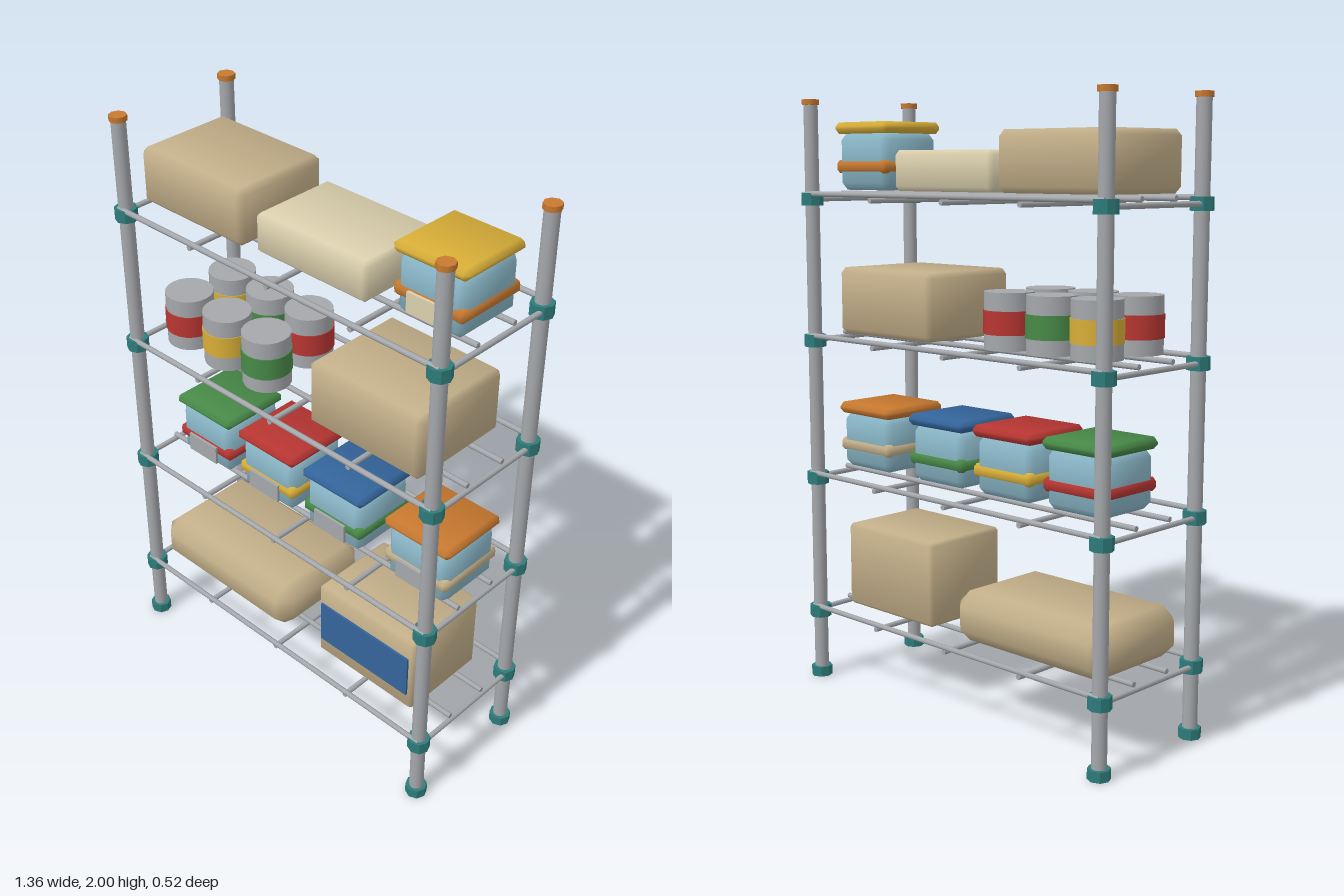
import * as THREE from 'three';
import { ConvexGeometry } from 'three/addons/geometries/ConvexGeometry.js';

const palette = {
  steel: 0xa5a8ac, orange: 0xc8792f, teal: 0x2d7d7b, cardboard: 0xc4b08a, cream: 0xdbd0ae,
  paleBlue: 0x8ab7c8, red: 0xb83632, yellow: 0xd8ae38, green: 0x488a48, blue: 0x34659c,
};

export function createModel() {
  const root = new THREE.Group();
  root.name = 'storageRack';
  const mats = {};
  for (const [name, color] of Object.entries(palette)) {
    mats[name] = new THREE.MeshStandardMaterial({ color });
    mats[name].name = name;
  }

  function add(parent, name, geometry, color, x, y, z) {
    const mesh = new THREE.Mesh(geometry, mats[color]);
    mesh.name = name;
    mesh.position.set(x, y, z);
    parent.add(mesh);
    return mesh;
  }

  // Box with every edge chamfered and softly blended normals
  function softBox(w, h, d, c) {
    const half = [w / 2, h / 2, d / 2];
    const points = [];
    for (const sx of [-1, 1]) for (const sy of [-1, 1]) for (const sz of [-1, 1]) {
      for (let axis = 0; axis < 3; axis++) {
        const p = half.map((v, i) => (i === axis ? v : v - c));
        points.push(new THREE.Vector3(p[0] * sx, p[1] * sy, p[2] * sz));
      }
    }
    const geo = new ConvexGeometry(points);
    const pos = geo.attributes.position;
    const n = new THREE.Vector3();
    for (let i = 0; i < pos.count; i++) {
      const p = [pos.getX(i), pos.getY(i), pos.getZ(i)];
      n.fromArray(p.map((v, k) => Math.sign(v) * (Math.abs(v) > half[k] - 1e-4 ? 1 : 0.36))).normalize();
      geo.attributes.normal.setXYZ(i, n.x, n.y, n.z);
    }
    return geo;
  }

  // Soft box standing on height y
  const standBox = (parent, name, color, x, y, z, w, h, d, c) =>
    add(parent, name, softBox(w, h, d, c), color, x, y + h / 2, z);

  const postX = 0.642, postZ = 0.222;
  const levels = [0.238, 0.716, 1.194, 1.672];
  const floor = levels.map((y) => y + 0.03);

  // Corner posts with feet, shelf collars and end caps
  const postGeo = new THREE.CylinderGeometry(0.024, 0.024, 1.97, 12);
  const collarGeo = new THREE.CylinderGeometry(0.037, 0.037, 0.042, 8).toNonIndexed();
  collarGeo.computeVertexNormals();
  const footGeo = new THREE.CylinderGeometry(0.036, 0.036, 0.034, 8).toNonIndexed();
  footGeo.computeVertexNormals();
  const capGeo = new THREE.CylinderGeometry(0.029, 0.029, 0.018, 8);
  for (const sx of [-1, 1]) for (const sz of [-1, 1]) {
    const x = sx * postX, z = sz * postZ;
    add(root, 'post', postGeo, 'steel', x, 1.0, z);
    add(root, 'foot', footGeo, 'teal', x, 0.017, z);
    add(root, 'postCap', capGeo, 'orange', x, 1.991, z);
    for (const y of levels) add(root, 'collar', collarGeo, 'teal', x, y, z);
  }

  // Open shelves: long rails resting on cross rails
  const longRail = new THREE.CylinderGeometry(0.009, 0.009, 1.31, 8).rotateZ(Math.PI / 2);
  const crossRail = new THREE.CylinderGeometry(0.009, 0.009, 0.48, 8).rotateX(Math.PI / 2);
  for (const y of levels) {
    const shelf = new THREE.Group();
    shelf.name = 'shelf';
    root.add(shelf);
    for (const z of [-0.24, -0.08, 0.08, 0.24]) add(shelf, 'longRail', longRail, 'steel', 0, y + 0.018, z);
    for (const x of [-0.655, -0.33, 0, 0.33, 0.655]) add(shelf, 'crossRail', crossRail, 'steel', x, y, 0);
  }

  // Bottom shelf: sack and crate with a front panel
  standBox(root, 'sack', 'cardboard', -0.308, floor[0], 0, 0.63, 0.167, 0.4, 0.045);
  standBox(root, 'crate', 'cardboard', 0.345, floor[0], 0, 0.42, 0.288, 0.326, 0.012);
  add(root, 'cratePanel', new THREE.BoxGeometry(0.382, 0.157, 0.009), 'blue', 0.345, 0.412, 0.166);

  // Lidded bins
  function bin(x, y, lid, band, label) {
    const g = new THREE.Group();
    g.name = 'bin';
    g.position.set(x, y, 0);
    root.add(g);
    standBox(g, 'binBody', 'paleBlue', 0, 0, 0, 0.242, 0.19, 0.242, 0.024);
    standBox(g, 'binBand', band, 0, 0.056, 0, 0.254, 0.044, 0.254, 0.012);
    standBox(g, 'binLid', lid, 0, 0.187, 0, 0.262, 0.038, 0.262, 0.015);
    add(g, 'binLabel', new THREE.BoxGeometry(0.132, 0.065, 0.009), label, 0, 0.06, 0.131);
  }
  bin(-0.445, floor[1], 'green', 'red', 'steel');
  bin(-0.145, floor[1], 'red', 'yellow', 'steel');
  bin(0.155, floor[1], 'blue', 'green', 'steel');
  bin(0.508, floor[1], 'orange', 'cardboard', 'steel');
  bin(0.508, floor[3], 'yellow', 'orange', 'cream');

  // Two rows of cans with coloured wraps
  const canGeo = new THREE.CylinderGeometry(0.079, 0.079, 0.18, 20);
  const wrapGeo = new THREE.CylinderGeometry(0.082, 0.082, 0.074, 20);
  const rows = [[0.105, ['red', 'yellow', 'green']], [-0.085, ['yellow', 'green', 'red']]];
  for (const [z, colors] of rows) colors.forEach((color, i) => {
    const x = -0.5 + i * 0.178;
    add(root, 'can', canGeo, 'steel', x, floor[2] - 0.003 + 0.09, z);
    add(root, 'canWrap', wrapGeo, color, x, 1.307, z);
  });

  // Cartons on the upper shelves
  standBox(root, 'carton', 'cardboard', 0.335, floor[2], 0, 0.442, 0.222, 0.374, 0.018);
  standBox(root, 'topCarton', 'cardboard', -0.39, floor[3], 0, 0.446, 0.188, 0.35, 0.02);
  standBox(root, 'flatCarton', 'cream', 0.09, floor[3], 0, 0.442, 0.13, 0.31, 0.015);

  return root;
}
